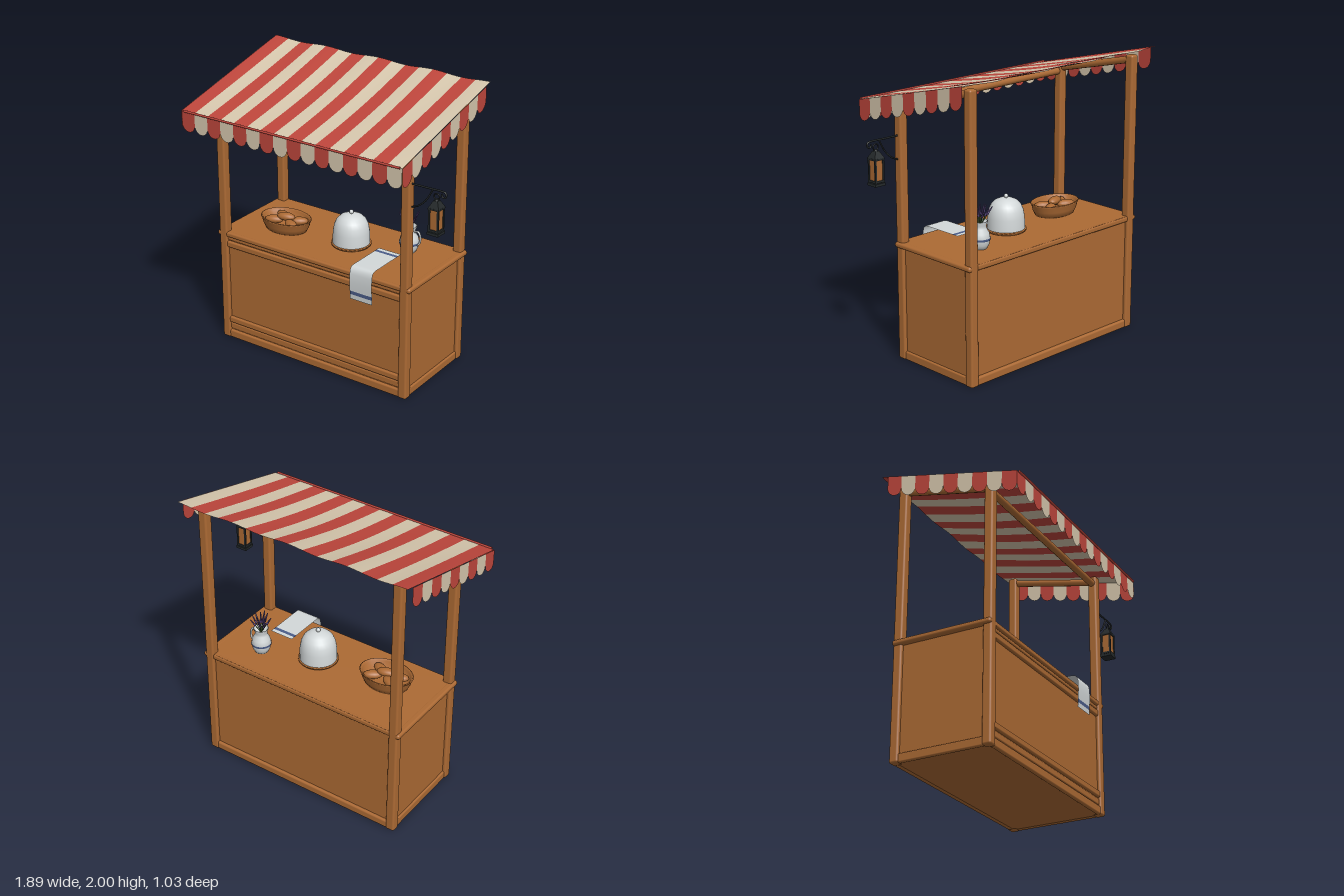
import * as THREE from 'three';
import { RoundedBoxGeometry } from 'three/addons/geometries/RoundedBoxGeometry.js';

const mat = (name, color, side = THREE.FrontSide) => {
  const m = new THREE.MeshStandardMaterial({ color, side });
  m.name = name;
  return m;
};
const V = (x, y, z) => new THREE.Vector3(x, y, z);

export function createModel() {
  const wood = mat('wood', 0xac6a34);
  const red = mat('red cloth', 0xbe463c, THREE.DoubleSide);
  const cream = mat('cream cloth', 0xd6c7ad, THREE.DoubleSide);
  const white = mat('white', 0xd3d8d9, THREE.DoubleSide);
  const navy = mat('navy', 0x4a5c88, THREE.DoubleSide);
  const iron = mat('dark iron', 0x24292a);
  const purple = mat('lavender', 0x5d4a86);
  const green = mat('stem green', 0x4f6b3c);

  const root = new THREE.Group();
  const group = (name, x = 0, y = 0, z = 0) => {
    const g = new THREE.Group();
    g.name = name;
    g.position.set(x, y, z);
    root.add(g);
    return g;
  };
  const add = (parent, name, geo, material, x = 0, y = 0, z = 0) => {
    const m = new THREE.Mesh(geo, material);
    m.name = name;
    m.position.set(x, y, z);
    parent.add(m);
    return m;
  };
  const rod = (parent, name, a, b, r0, r1, material, sides = 10) => {
    const d = b.clone().sub(a);
    const m = add(parent, name, new THREE.CylinderGeometry(r1, r0, d.length(), sides), material);
    m.position.copy(a).addScaledVector(d, 0.5);
    m.quaternion.setFromUnitVectors(V(0, 1, 0), d.normalize());
    return m;
  };
  const tube = (parent, name, pts, r, material) =>
    add(parent, name, new THREE.TubeGeometry(new THREE.CatmullRomCurve3(pts), 24, r, 8), material);
  const lathe = (pts, sides = 28) =>
    new THREE.LatheGeometry(pts.map(([r, y]) => new THREE.Vector2(r, y)), sides);

  // Timber frame
  const CX = -0.08, HX = 0.738, ZF = 0.2425, ZB = -0.4075;
  const frame = group('frame');
  for (const s of [-1, 1]) {
    const x = CX + s * HX;
    for (const [z, h, name] of [[ZF, 1.79, 'frontPost'], [ZB, 1.94, 'backPost']])
      add(frame, name, new RoundedBoxGeometry(0.064, h, 0.064, 2, 0.014), wood, x, h / 2, z);
    rod(frame, 'roofSideBeam', V(x, 1.755, ZF), V(x, 1.91, ZB), 0.024, 0.024, wood);
    add(frame, 'counterSideRail', new RoundedBoxGeometry(0.05, 0.036, 0.715, 2, 0.015), wood,
      x + s * 0.024, 0.802, -0.0825);
    add(frame, 'lowerSideRail', new RoundedBoxGeometry(0.03, 0.06, 0.6, 2, 0.01), wood,
      x + s * 0.008, 0.03, -0.0825);
  }
  rod(frame, 'roofFrontBeam', V(CX - HX, 1.735, ZF), V(CX + HX, 1.735, ZF), 0.025, 0.025, wood);

  // Counter
  const counter = group('counter');
  add(counter, 'counterBody', new THREE.BoxGeometry(1.494, 0.808, 0.665), wood, CX, 0.41, -0.0825);
  add(counter, 'counterTop', new THREE.BoxGeometry(1.5, 0.02, 0.69), wood, CX, 0.809, -0.0825);
  for (const [y, h, z] of [[0.802, 0.036, 0.262], [0.77, 0.03, 0.25], [0.728, 0.046, 0.258],
    [0.142, 0.046, 0.258], [0.09, 0.05, 0.248], [0.03, 0.06, 0.258]])
    add(counter, 'frontRail', new RoundedBoxGeometry(1.43, h, 0.032, 2, 0.012), wood, CX, y, z - 0.005);
  for (const [y, h] of [[0.8, 0.04], [0.03, 0.06]])
    add(counter, 'backRail', new RoundedBoxGeometry(1.43, h, 0.036, 2, 0.014), wood, CX, y, -0.417);

  // Striped awning that sags between its edges and ripples along the back
  const X0 = -0.94, W = 1.72, N = 16, SW = W / N, Z0 = 0.5, DEPTH = 1.02, SLOPE = 0.248;
  const awning = group('awning');
  for (let i = 0; i < N; i++) {
    const geo = new THREE.PlaneGeometry(SW, DEPTH, 4, 16);
    geo.rotateX(-Math.PI / 2);
    geo.translate(X0 + (i + 0.5) * SW, 0, Z0 - DEPTH / 2);
    const p = geo.attributes.position;
    for (let k = 0; k < p.count; k++) {
      const u = (p.getX(k) - X0) / W, t = (Z0 - p.getZ(k)) / DEPTH;
      p.setY(k, 1.745 + t * DEPTH * SLOPE
        - 0.02 * Math.sin(Math.PI * t) * Math.sin(Math.PI * u)
        - 0.006 * t * (1 - Math.cos(u * Math.PI * 8)));
    }
    geo.computeVertexNormals();
    add(awning, 'awningStripe', geo, i % 2 ? cream : red);
  }
  rod(awning, 'awningFrontRod', V(-0.92, 1.747, 0.505), V(0.765, 1.747, 0.505), 0.008, 0.008, red, 8);

  // Scalloped valance
  const flap = (w, h) => {
    const s = new THREE.Shape();
    const r = w / 2;
    s.moveTo(-r, 0);
    s.lineTo(-r, -h + r);
    s.absarc(0, -h + r, r, Math.PI, Math.PI * 2, false);
    s.lineTo(r, 0);
    return new THREE.ShapeGeometry(s, 10);
  };
  for (let i = 0; i < N; i++)
    add(awning, 'frontScallop', flap(SW, 0.14), i % 2 ? cream : red, X0 + (i + 0.5) * SW, 1.745, Z0);
  for (const x of [X0 - 0.003, X0 + W + 0.003])
    for (let i = 0; i < 9; i++) {
      const geo = flap(SW, 0.145);
      geo.rotateY(Math.PI / 2);
      const p = geo.attributes.position;
      for (let k = 0; k < p.count; k++) p.setY(k, p.getY(k) - p.getZ(k) * SLOPE);
      const d = (i + 0.5) * SW;
      add(awning, 'sideScallop', geo, i % 2 ? cream : red, x, 1.745 + d * SLOPE, Z0 - d);
    }

  // Bread bowl
  const bowl = group('breadBowl', -0.495, 0.82, -0.02);
  add(bowl, 'bowl', lathe([[0, 0], [0.155, 0], [0.175, 0.04], [0.185, 0.078], [0.192, 0.085],
    [0.183, 0.09], [0.172, 0.075], [0.145, 0.02], [0, 0.02]]), wood).scale.z = 0.73;
  [[-0.08, 0.06, 0.03, 0.4], [0.07, 0.06, 0.04, -0.5], [-0.06, 0.065, -0.05, -0.4],
    [0.08, 0.06, -0.04, 0.6], [0, 0.088, 0.0, 0.25]].forEach(([x, y, z, a]) => {
    const loaf = add(bowl, 'breadLoaf', new THREE.SphereGeometry(1, 14, 10), wood, x, y, z);
    loaf.scale.set(0.066, 0.028, 0.036);
    loaf.rotation.y = a;
  });

  // Domed cake cover on a wooden plate
  const cake = group('cakeStand', 0.02, 0.82, -0.065);
  add(cake, 'plate', lathe([[0, 0], [0.125, 0], [0.136, 0.012], [0.136, 0.022], [0, 0.022]]), wood);
  add(cake, 'dome', lathe([[0.127, 0.022], [0.125, 0.1], [0.116, 0.15], [0.1, 0.185], [0.075, 0.21],
    [0.04, 0.226], [0, 0.23]]), white);
  add(cake, 'domeKnob', new THREE.SphereGeometry(0.015, 14, 10), white, 0, 0.241, 0);

  // Jug of lavender
  const jug = group('jug', 0.392, 0.82, -0.205);
  add(jug, 'jugBody', lathe([[0, 0], [0.045, 0], [0.06, 0.03], [0.067, 0.07], [0.06, 0.105], [0.044, 0.135],
    [0.041, 0.155], [0.052, 0.185], [0.047, 0.185], [0.036, 0.155], [0, 0.145]]), white);
  add(jug, 'jugBand', lathe([[0.067, 0.058], [0.0695, 0.065], [0.0685, 0.074]]), navy);
  tube(jug, 'jugHandle', [V(0.04, 0.15, 0), V(0.07, 0.155, 0), V(0.086, 0.12, 0), V(0.08, 0.075, 0),
    V(0.06, 0.055, 0)], 0.007, white);
  for (let i = 0; i < 13; i++) {
    const a = i * 2.4, s = 0.08 * Math.sqrt(i / 12);
    const at = (t) => V(Math.cos(a) * s * t, 0.15 + (0.14 - s * 0.25) * t, Math.sin(a) * s * t);
    rod(jug, 'lavenderStem', at(0), at(0.65), 0.003, 0.003, green, 5);
    rod(jug, 'lavenderFlower', at(0.58), at(1.04), 0.008, 0.003, purple, 6);
  }

  // Towel draped over the front edge, as (z, y) profile pieces
  const strip = (name, pts, material) => {
    const geo = new THREE.PlaneGeometry(0.174, 1, 1, pts.length - 1);
    const p = geo.attributes.position;
    for (let k = 0; k < p.count; k++) {
      const [z, y] = pts[k >> 1];
      p.setY(k, y);
      p.setZ(k, z);
    }
    geo.computeVertexNormals();
    add(towel, name, geo, material, 0.348, 0, 0);
  };
  const towel = group('towel');
  strip('towelBackEnd', [[-0.04, 0.869], [-0.01, 0.869]], white);
  strip('towelBackStripe', [[-0.01, 0.869], [0.015, 0.869]], navy);
  strip('towelMiddle', [[0.015, 0.869], [0.25, 0.869], [0.275, 0.866], [0.292, 0.852], [0.3, 0.82],
    [0.302, 0.76], [0.298, 0.695]], white);
  strip('towelFrontStripe', [[0.298, 0.695], [0.297, 0.67]], navy);
  strip('towelFrontEnd', [[0.297, 0.67], [0.295, 0.636]], white);

  // Lantern bracket
  const lantern = group('lantern', 0, 0, 0.2425);
  tube(lantern, 'bracketArm', [V(0.68, 1.537, 0), V(0.8, 1.537, 0), V(0.9, 1.538, 0), V(0.93, 1.533, 0),
    V(0.936, 1.512, 0), V(0.918, 1.497, 0), V(0.903, 1.51, 0), V(0.912, 1.522, 0)], 0.0065, iron);
  tube(lantern, 'bracketBrace', [V(0.685, 1.38, 0), V(0.735, 1.4, 0), V(0.79, 1.45, 0), V(0.84, 1.535, 0)],
    0.0055, iron);
  add(lantern, 'hangingRing', new THREE.TorusGeometry(0.02, 0.0045, 8, 18), iron, 0.868, 1.495, 0);

  // Lantern body: panes, corner bars, roof and base
  const LX = 0.868;
  add(lantern, 'lanternPanes', new THREE.BoxGeometry(0.062, 0.15, 0.062), wood, LX, 1.345, 0);
  for (const sx of [-1, 1]) for (const sz of [-1, 1])
    add(lantern, 'cornerBar', new THREE.BoxGeometry(0.012, 0.16, 0.012), iron, LX + sx * 0.031, 1.345, sz * 0.031);
  for (const [name, w, h, y] of [['lanternBase', 0.082, 0.018, 1.254], ['lowerFrame', 0.074, 0.014, 1.274],
    ['upperFrame', 0.078, 0.012, 1.42]])
    add(lantern, name, new THREE.BoxGeometry(w, h, w), iron, LX, y, 0);
  const roof = new THREE.CylinderGeometry(0.022, 0.055, 0.045, 4).toNonIndexed();
  roof.rotateY(Math.PI / 4);
  roof.computeVertexNormals();
  add(lantern, 'lanternRoof', roof, iron, LX, 1.447, 0);
  add(lantern, 'lanternCap', new THREE.CylinderGeometry(0.01, 0.015, 0.014, 10), iron, LX, 1.474, 0);

  return root;
}
